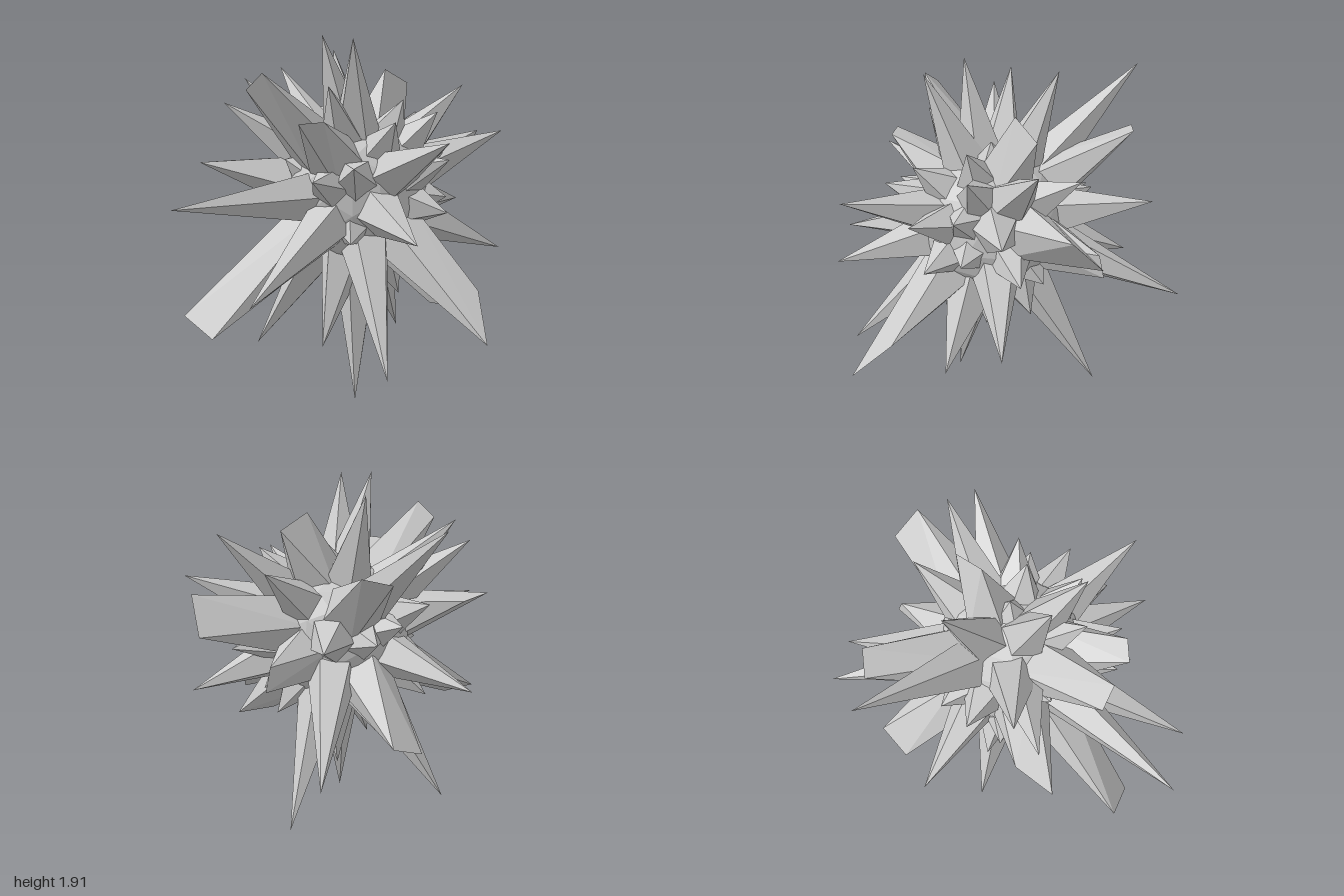
import * as THREE from 'three';
import { ConvexGeometry } from 'three/addons/geometries/ConvexGeometry.js';

const CENTER = new THREE.Vector3(0.02, 1.09, 0.03);
const CORE = 0.39;

// Sharp spikes: tip x, y, z
const TIPS = [
  [-0.15, 1.91, 0.2], [0.02, 1.88, 0.37], [-0.14, 1.87, -0.28], [-0.1, 1.65, 0.38],
  [-0.51, 1.79, -0.67], [-0.59, 1.7, 0.02], [-0.68, 1.57, 0.13],
  [0.59, 1.67, -0.26], [0.33, 1.52, -0.44], [0.48, 1.39, 0.7], [-0.77, 1.09, 0.82],
  [-0.68, 0.94, -0.44], [-0.38, 0.69, 1], [0.21, 0.31, 0.81], [-0.14, 0.32, 0.35],
  [0.02, 0, 0.24], [0.02, 0.27, 0.03], [-0.58, 0.18, -0.16], [0.22, 0.19, -0.57],
  [0.02, 0.68, -1], [0.02, 1.26, -0.8], [0.8, 0.77, -0.13], [0.34, 0.94, 0.81],
  [0.8, 1.42, -0.13],
];

// Chisel-ended spikes: both ends of the ridge
const BLADES = [
  [0.16, 1.75, -0.1, 0.28, 1.68, -0.22],
  [0.69, 1.41, -0.43, 0.63, 1.24, -0.57],
  [-0.8, 1.26, 0.2, -0.66, 1.26, 0.03],
  [-0.79, 0.54, 0.59, -0.63, 0.45, 0.68],
  [0.67, 0.45, 0.68, 0.64, 0.66, 0.46],
  [0.62, 0.49, 0.19, 0.41, 0.53, 0.2],
  [-0.41, 1.71, 0.47, -0.5, 1.63, 0.42],
  [-0.22, 1.47, 0.59, -0.1, 1.48, 0.59],
  [-0.28, 1.54, -0.66, -0.14, 1.57, -0.67],
  [-0.3, 0.74, -0.69, -0.44, 0.66, -0.57],
  [0.3, 1.09, -0.55, 0.32, 0.97, -0.58],
];

// Small seeded generator
function seeded(seed) {
  return () => {
    seed = (seed * 16807) % 2147483647;
    return seed / 2147483647;
  };
}

// Hull from a five-sided ring inside the core to one or two tips
function spikeGeometry(tips, radius, twist) {
  const dir = new THREE.Vector3();
  tips.forEach((t) => dir.add(t.clone().sub(CENTER)));
  dir.normalize();
  const turn = new THREE.Quaternion().setFromUnitVectors(new THREE.Vector3(0, 1, 0), dir);
  const points = tips.slice();
  for (let i = 0; i < 5; i++) {
    const a = twist + (i / 5) * Math.PI * 2;
    points.push(new THREE.Vector3(Math.cos(a) * radius, 0.3, Math.sin(a) * radius)
      .applyQuaternion(turn).add(CENTER));
  }
  return new ConvexGeometry(points);
}

export function createModel() {
  const group = new THREE.Group();
  const material = new THREE.MeshStandardMaterial({ color: 0xcccccc, flatShading: true });
  const random = seeded(71);
  const directions = [];

  const addSpike = (name, tips, radius) => {
    const mesh = new THREE.Mesh(spikeGeometry(tips, radius, random() * Math.PI), material);
    mesh.name = name;
    group.add(mesh);
    const mid = tips.reduce((sum, t) => sum.add(t), new THREE.Vector3()).divideScalar(tips.length);
    directions.push(mid.sub(CENTER).normalize());
  };

  // Faceted core
  const core = new THREE.Mesh(new THREE.IcosahedronGeometry(CORE, 2), material);
  core.name = 'core';
  core.position.copy(CENTER);
  group.add(core);

  // Long spikes and chisel-ended spikes
  TIPS.forEach((t) => addSpike('longSpike', [new THREE.Vector3(...t)], 0.14));
  BLADES.forEach((b) => addSpike('bladeSpike',
    [new THREE.Vector3(...b.slice(0, 3)), new THREE.Vector3(...b.slice(3))], 0.16));

  // Short spikes fill the gaps, spread evenly over the sphere
  const count = 150;
  for (let i = 0; i < count; i++) {
    const y = 1 - (2 * i + 1) / count;
    const r = Math.sqrt(1 - y * y);
    const a = i * 2.39996;
    const dir = new THREE.Vector3(Math.cos(a) * r, y, Math.sin(a) * r);
    if (directions.some((d) => d.angleTo(dir) < 0.32)) continue;
    const tip = dir.clone().multiplyScalar(0.42 + 0.2 * random()).add(CENTER);
    addSpike('shortSpike', [tip], 0.14);
  }
  return group;
}
